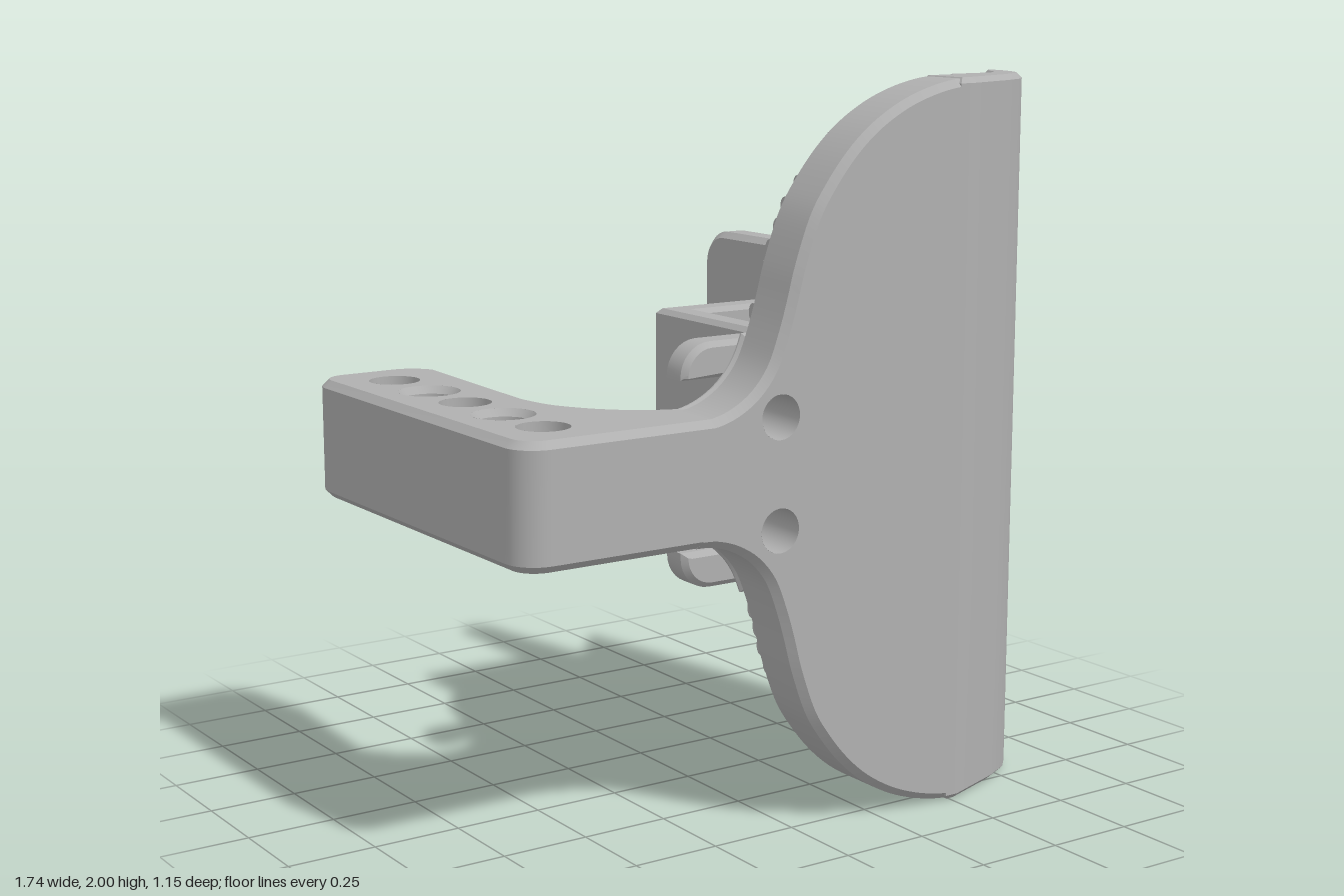
import * as THREE from 'three';
import { mergeGeometries, toCreasedNormals } from 'three/addons/utils/BufferGeometryUtils.js';

const grey = new THREE.MeshStandardMaterial({ color: 0xb0b0b0, side: THREE.DoubleSide });
grey.name = 'grey plastic';

const V = (x, y) => new THREE.Vector2(x, y);

// Moves a counter-clockwise outline inward by d
function inset(pts, d) {
  const n = pts.length;
  return pts.map((p, i) => {
    const a = p.clone().sub(pts[(i + n - 1) % n]).normalize();
    const b = pts[(i + 1) % n].clone().sub(p).normalize();
    const n1 = V(-a.y, a.x), n2 = V(-b.y, b.x);
    return p.clone().addScaledVector(n1.clone().add(n2), d / (1 + n1.dot(n2)));
  });
}

// Outline from [x, y, cornerRadius] points
function rounded(corners) {
  const out = [], n = corners.length;
  corners.forEach(([x, y, r], i) => {
    const p = V(x, y);
    if (!r) return out.push(p);
    const q = ([u, v]) => p.clone().add(V(u, v).sub(p).setLength(r));
    const s = q(corners[(i + n - 1) % n]), e = q(corners[(i + 1) % n]);
    const k = 0.552;
    const curve = new THREE.CubicBezierCurve(s, s.clone().lerp(p, k), e.clone().lerp(p, k), e);
    out.push(...curve.getPoints(8));
  });
  return out;
}

// Prism with chamfered rims, along z ('z'), y ('y': outline is x,z) or x ('x': outline is -z,y)
function prism(name, outline, lo, hi, axis, c = 0.02, holesLo = [], holesHi = holesLo) {
  let pts = outline.filter((p, i) => p.distanceTo(outline[(i + 1) % outline.length]) > 1e-4);
  if (THREE.ShapeUtils.isClockWise(pts)) pts = pts.reverse();
  if (axis === 'y') {
    [lo, hi] = [-hi, -lo];
    [holesLo, holesHi] = [holesHi, holesLo];
  }
  const small = inset(pts, c), n = pts.length, pos = [], idx = [];
  [[small, lo], [pts, lo + c], [pts, hi - c], [small, hi]].forEach(([ring, z], k) => {
    ring.forEach((p, i) => {
      pos.push(p.x, p.y, z);
      if (k === 3) return;
      const a = k * n + i, b = k * n + (i + 1) % n;
      idx.push(a, b, b + n, a, b + n, a + n);
    });
  });
  const walls = new THREE.BufferGeometry();
  walls.setAttribute('position', new THREE.Float32BufferAttribute(pos, 3));
  walls.setIndex(idx);
  const cap = (z, holes, flip) => {
    const shape = new THREE.Shape(small);
    shape.holes = holes.map(([x, y, r]) => new THREE.Path().absarc(x, y, r, 0, Math.PI * 2, true));
    const g = new THREE.ShapeGeometry(shape, 32).translate(0, 0, z);
    if (flip) g.setIndex(Array.from(g.index.array).reverse());
    g.deleteAttribute('uv');
    g.deleteAttribute('normal');
    return g;
  };
  const geo = mergeGeometries([walls, cap(lo, holesLo, true), cap(hi, holesHi, false)]);
  if (axis === 'y') geo.rotateX(Math.PI / 2);
  if (axis === 'x') geo.rotateY(Math.PI / 2);
  const mesh = new THREE.Mesh(toCreasedNormals(geo, 0.6), grey);
  mesh.name = name;
  return mesh;
}

// Lining of a round hole from [radius, height] points
function bore(name, profile) {
  const geo = new THREE.LatheGeometry(profile.map(([r, y]) => V(r, y)), 32);
  const mesh = new THREE.Mesh(toCreasedNormals(geo, 0.6), grey);
  mesh.name = name;
  return mesh;
}

export function createModel() {
  const group = new THREE.Group();
  const yLo = 0.837, yHi = 1.167;

  // Side arm with its fillet into the plate
  const fillet = new THREE.SplineCurve([V(-0.54, 0.04), V(-0.525, 0.13), V(-0.5, 0.19), V(-0.45, 0.265),
    V(-0.38, 0.33), V(-0.3, 0.37), V(-0.23, 0.382)]).getPoints(20);
  const armOutline = [
    ...rounded([[-0.2, 0.575, 0], [-0.87, 0.575, 0.085], [-0.87, -0.58, 0.085], [-0.54, -0.58, 0.085]]),
    ...fillet, V(-0.2, 0.382)];
  const armX = -0.705, through = [-0.4, 0, 0.4], blind = [-0.2, 0.2];
  group.add(prism('sideArm', armOutline, yLo, yHi, 'y', 0.02,
    through.map(z => [armX, z, 0.125]),
    [...through.map(z => [armX, z, 0.07]), ...blind.map(z => [armX, z, 0.085])]));
  for (const z of through) {
    const b = bore('counterboredHole', [[0.07, yHi], [0.07, 1.05], [0.125, 1.05], [0.125, yLo]]);
    b.position.set(armX, 0, z);
    group.add(b);
  }
  for (const z of blind) {
    const b = bore('blindHole', [[0.085, yHi], [0.07, yHi - 0.02], [0.07, 0.95], [0, 0.95]]);
    b.position.set(armX, 0, z);
    group.add(b);
  }

  // Paddle plate: half outline as x and half height
  const half = new THREE.SplineCurve([[-0.35, 0.165], [-0.3, 0.168], [-0.24, 0.187], [-0.18, 0.225],
    [-0.13, 0.285], [-0.095, 0.37], [-0.07, 0.45], [-0.045, 0.54], [0, 0.66], [0.05, 0.74], [0.116, 0.82],
    [0.19, 0.885], [0.275, 0.936], [0.36, 0.97], [0.45, 0.992], [0.53, 1]].map(([x, h]) => V(x, h))).getPoints(60);
  const mirrored = pts => [...pts.map(p => V(p.x, 1 - p.y)), ...pts.map(p => V(p.x, 1 + p.y)).reverse()];
  const screws = [[-0.1, 1.153, 0.06], [-0.1, 0.853, 0.06]];
  group.add(prism('paddlePlate', mirrored(half), 0.4, 0.575, 'z', 0.02, screws));
  const low = half.filter(p => p.y < 0.37);
  group.add(prism('smoothCentrePad', mirrored([...low, V(0.6, 0.37)]), 0.38, 0.415, 'z', 0.015, screws));
  for (const [x, y, r] of screws) {
    const b = bore('screwHole', [[r, 0.38], [r, 0.575]]);
    b.rotation.x = Math.PI / 2;
    b.position.set(x, y, 0);
    group.add(b);
  }

  // Curled lip along the far edge
  const lip = [[0.48, 0.575], [0.52, 0.575], [0.7, 0.51], [0.78, 0.47], [0.82, 0.43], [0.845, 0.38], [0.862, 0.32],
    [0.865, 0.265], [0.85, 0.246], [0.835, 0.25], [0.8, 0.29], [0.77, 0.345], [0.752, 0.37], [0.73, 0.382],
    [0.58, 0.382], [0.58, 0.405], [0.48, 0.405]].map(([x, z]) => V(x, z));
  group.add(prism('curledLip', lip, 0, 2, 'y', 0.015));

  // Grip ribs on the back of the paddle
  for (const side of [-1, 1]) {
    for (let i = 0; i < 11; i++) {
      const h = 0.4 + i * 0.0545;
      const x0 = half.find(p => p.y >= Math.min(h + 0.025, 0.995)).x + 0.01, len = 0.59 - x0;
      const rib = new THREE.Mesh(new THREE.CylinderGeometry(0.026, 0.026, len, 12), grey);
      rib.name = 'gripRib';
      rib.rotation.z = Math.PI / 2;
      rib.scale.z = 0.75;
      rib.position.set(x0 + len / 2, 1 + side * h, 0.401);
      group.add(rib);
    }
  }

  // Slotted foot of the rear bracket
  const slot = y => Array.from({ length: 13 }, (_, i) => {
    const a = -Math.PI / 2 + i * Math.PI / 12;
    return V(-0.1 + 0.08 * Math.cos(a), y + 0.08 * Math.sin(a));
  });
  const foot = [
    ...rounded([[0.12, 1.33, 0], [-0.27, 1.33, 0.09], [-0.27, 1.233, 0]]),
    ...slot(1.153).reverse(), V(-0.27, 1.073), V(-0.27, 0.933),
    ...slot(0.853).reverse(),
    ...rounded([[-0.27, 0.773, 0], [-0.27, 0.67, 0.09], [0.12, 0.67, 0]])];
  group.add(prism('slottedFoot', foot, 0.285, 0.379, 'z', 0.015));

  // Stepped web and end pad
  const web = [[0.035, 0.37], [0.12, 0.37], [0.12, -0.127], [0.46, -0.127], [0.46, -0.215], [0.035, -0.215]]
    .map(([x, z]) => V(x, z));
  group.add(prism('steppedWeb', web, 0.67, 1.33, 'y', 0.014));
  const pad = rounded([[0.12, 0.505, 0.1], [0.55, 0.505, 0.1], [0.55, 1.5, 0.1], [0.12, 1.5, 0.1]]);
  group.add(prism('endPad', pad, 0.43, 0.525, 'x', 0.018));

  return group;
}
